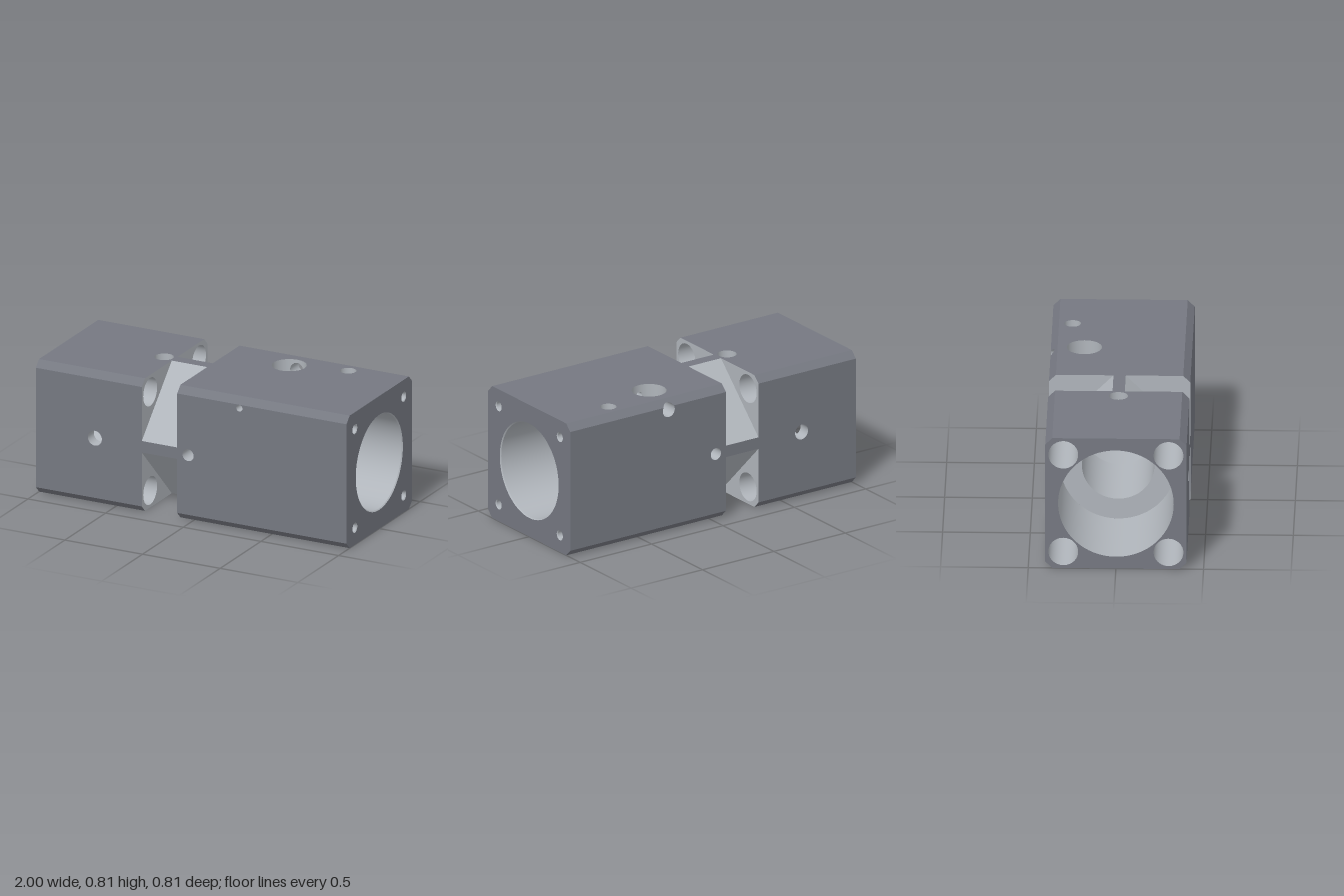
import * as THREE from 'three';

const H = 0.403;            // half height and half depth of the block
const F = 0.363;            // half width of the flats between the long chamfers
const N = 0.035;            // half width of the strip left between corner notches
const X0 = -0.318, X1 = -0.09; // notch ends
const RIGHT = 0.283, MOUTH = 0.289, LEFT = 0.33, MID = 0.207; // bore radii
const RX = 0.05, LX = -0.45;  // bore shoulders
const PIN = { x: 0.31, y: 0.342, front: 0.02, back: 0.042 };
const PORT = { x: 0.31, z: -0.21, r: 0.07, big: 0.1, floor: 0.28 };

export function createModel() {
  const model = new THREE.Group();
  const body = new THREE.Group();
  body.name = 'housing';
  body.position.y = H;
  model.add(body);
  // Dark outer skin, light machined cuts
  const skin = new THREE.MeshStandardMaterial({ color: 0x757881, side: THREE.DoubleSide });
  const cut = new THREE.MeshStandardMaterial({ color: 0xb0b5bb, side: THREE.DoubleSide });

  const add = (name, geo, mat) => {
    const mesh = new THREE.Mesh(geo, mat);
    mesh.name = name;
    body.add(mesh);
  };
  const poly = (pts) => new THREE.Shape(pts.map(([a, b]) => new THREE.Vector2(a, b)));
  const disc = (r, a = 0, b = 0) => new THREE.Shape().absarc(a, b, r, 0, Math.PI * 2);

  // Flat panel: a shape with round holes [a, b, r], carried into space by map(a, b)
  const panel = (name, mat, shape, map, holes = []) => {
    for (const [a, b, r] of holes) shape.holes.push(new THREE.Path().absarc(a, b, r, 0, Math.PI * 2, true));
    const geo = new THREE.ShapeGeometry(shape, 32);
    const p = geo.attributes.position;
    for (let n = 0; n < p.count; n++) p.setXYZ(n, ...map(p.getX(n), p.getY(n)));
    geo.computeVertexNormals();
    add(name, geo, mat);
  };

  // Round inner wall along axis k (0 x, 1 y, 2 z) from a to b, opened where cuts cross it.
  // a and b are numbers or functions of the point, r is a radius or [start, end]
  const pipe = (name, k, ci, cj, r, a, b, cuts = [], nu = 64, nv = 1) => {
    const i = (k + 1) % 3, j = (k + 2) % 3;
    const [ra, rb] = Array.isArray(r) ? r : [r, r];
    const at = (e, p) => (typeof e === 'function' ? e(p) : e);
    const pos = [], nor = [], idx = [], inside = [];
    let forward = true;
    for (let v = 0; v <= nv; v++) for (let u = 0; u <= nu; u++) {
      const t = v / nv, rr = ra + (rb - ra) * t, th = (u / nu) * Math.PI * 2;
      const p = [0, 0, 0];
      p[i] = ci + rr * Math.cos(th);
      p[j] = cj + rr * Math.sin(th);
      const s = at(a, p), e = at(b, p);
      if (u === 0) forward = e > s;
      p[k] = s + (e - s) * t;
      let hit = false;
      for (const c of cuts) {
        const m = (c.k + 1) % 3, n = (c.k + 2) % 3;
        if (c.when && !c.when(p)) continue;
        if (Math.hypot(p[m] - c.i, p[n] - c.j) >= c.r) continue;
        hit = true;
        // slide the point to the rim of the cut, staying on the wall
        for (let step = 0; step < 4; step++) {
          const d = Math.hypot(p[m] - c.i, p[n] - c.j) || 1e-6;
          p[m] = c.i + ((p[m] - c.i) * c.r) / d;
          p[n] = c.j + ((p[n] - c.j) * c.r) / d;
          const q = Math.hypot(p[i] - ci, p[j] - cj) || 1e-6;
          p[i] = ci + ((p[i] - ci) * rr) / q;
          p[j] = cj + ((p[j] - cj) * rr) / q;
        }
      }
      inside.push(hit);
      pos.push(...p);
      // a cone's normal leans along the axis
      const nn = new THREE.Vector3();
      nn.setComponent(i, (ci - p[i]) / rr);
      nn.setComponent(j, (cj - p[j]) / rr);
      if (ra !== rb) nn.setComponent(k, (rb - ra) / (e - s));
      nor.push(...nn.normalize());
    }
    const tri = (x, y, z) => {
      if (!(inside[x] && inside[y] && inside[z])) idx.push(...(forward ? [x, y, z] : [x, z, y]));
    };
    for (let v = 0; v < nv; v++) for (let u = 0; u < nu; u++) {
      const o = v * (nu + 1) + u, w = o + nu + 1;
      tri(o, w, o + 1);
      tri(o + 1, w, w + 1);
    }
    const geo = new THREE.BufferGeometry();
    geo.setAttribute('position', new THREE.Float32BufferAttribute(pos, 3));
    geo.setAttribute('normal', new THREE.Float32BufferAttribute(nor, 3));
    geo.setIndex(idx);
    add(name, geo, cut);
  };

  // Long side faces, narrowed to a strip at the notches
  const side = (bite) => {
    const s = new THREE.Shape();
    s.moveTo(1, F);
    for (const [x, w] of [[1, -F], [X1, -F], [X1, -N], [X0, -N], [X0, -F], [-1, -F],
      [-1, F], [X0, F], [X0, N], [X1, N], [X1, F]]) s.lineTo(x, w);
    if (bite) s.absarc(PIN.x, PIN.y, PIN.back, Math.PI * 5 / 6, Math.PI * 13 / 6, false);
    s.lineTo(1, F);
    return s;
  };
  const cross = [-0.62, 0, 0.045], dowel = [-0.02, 0, 0.036];
  panel('frontFace', skin, side(), (x, y) => [x, y, H], [cross, dowel, [PIN.x, PIN.y, PIN.front]]);
  panel('backFace', skin, side(true), (x, y) => [x, y, -H], [cross, dowel]);
  panel('topFace', skin, side(), (x, z) => [x, H, z],
    [[PORT.x, PORT.z, PORT.big], [0.65, -0.285, 0.047], [-0.385, 0, 0.055]]);
  panel('bottomFace', skin, side(), (x, z) => [x, -H, z],
    [[PORT.x, PORT.z, PORT.r], [0.65, -0.285, 0.047]]);

  // Chamfers, slanted notch floors and notch walls at the four long edges
  for (const sy of [-1, 1]) for (const sz of [-1, 1]) {
    const slope = (base) => (x, y) => [x, sy * y, sz * (H - (y - base))];
    panel('leftBlockChamfer', skin, poly([[-1, F], [X0, F], [X0, H], [-1, H]]), slope(F));
    const strip = new THREE.Shape();
    strip.moveTo(X1, H);
    strip.lineTo(X1, F);
    if (sy > 0 && sz < 0) strip.absarc(PIN.x, PIN.y, PIN.back, Math.PI * 5 / 6, Math.PI / 6, true);
    strip.lineTo(1, F);
    strip.lineTo(1, H);
    panel('rightBlockChamfer', skin, strip, slope(F));
    panel('notchFloor', cut, poly([[X0, N], [X1, N], [X1, H], [X0, H]]), slope(N));
    for (const x of [X0, X1])
      panel('notchWall', cut, poly([[N, H], [H, N], [H, F], [F, H]]), (y, z) => [x, sy * y, sz * z],
        x === X0 ? [[0.3, 0.3, 0.085]] : []);

    // Corner holes: wide passages on one block, tapped blind holes on the other
    pipe('cornerPassage', 0, sy * 0.3, sz * 0.3, 0.085, -1, X0);
    pipe('screwHoleRim', 0, sy * 0.3, sz * 0.3, [0.03, 0.025], 1, 0.995, [], 32);
    pipe('screwHole', 0, sy * 0.3, sz * 0.3, 0.025, 0.995, 0.8, [], 32);
    panel('screwHoleFloor', cut, disc(0.025, sy * 0.3, sz * 0.3), (y, z) => [0.8, y, z]);
  }

  // End faces
  const octagon = () => poly([[H, -F], [H, F], [F, H], [-F, H], [-H, F], [-H, -F], [-F, -H], [F, -H]]);
  for (const [name, x, bore, r] of [['rightEnd', 1, MOUTH, 0.03], ['leftEnd', -1, LEFT, 0.085]])
    panel(name, skin, octagon(), (y, z) => [x, y, z], [[0, 0, bore],
      [0.3, 0.3, r], [0.3, -0.3, r], [-0.3, 0.3, r], [-0.3, -0.3, r]]);

  // Stepped main bore
  pipe('boreMouth', 0, 0, 0, [RIGHT, MOUTH], 0.994, 1, [], 140);
  pipe('rightBore', 0, 0, 0, RIGHT, RX, 0.994, [
    { k: 1, i: PORT.z, j: PORT.x, r: PORT.r },
    { k: 1, i: -0.285, j: 0.65, r: 0.047 }], 140, 110);
  pipe('leftBore', 0, 0, 0, LEFT, -1, LX, [{ k: 2, i: -0.62, j: 0, r: 0.045 }], 140, 60);
  pipe('middleBore', 0, 0, 0, MID, LX, RX - 0.006, [], 96);
  pipe('shoulderLip', 0, 0, 0, [MID, 0.213], RX - 0.006, RX, [], 96);
  panel('rightShoulder', cut, disc(RIGHT), (y, z) => [RX, y, z], [[0, 0, 0.213]]);
  panel('leftShoulder', cut, disc(LEFT), (y, z) => [LX, y, z], [[0, 0, MID]]);

  // Cross holes that break into the bore, and blind dowel holes, front and back
  const reach = (R, d) => Math.sqrt(Math.max(0, R * R - d * d));
  for (const s of [-1, 1]) {
    pipe('crossHole', 2, -0.62, 0, 0.045, s * H, (p) => s * reach(LEFT, p[1]));
    pipe('dowelHole', 2, -0.02, 0, 0.036, s * H, s * 0.3);
    panel('dowelHoleFloor', cut, disc(0.036, -0.02, 0), (x, y) => [x, y, s * 0.3]);
    // Vertical holes, top and bottom
    pipe('ventHole', 1, -0.285, 0.65, 0.047, s * H, (p) => s * reach(RIGHT, p[2]));
    pipe('portHole', 1, PORT.z, PORT.x, PORT.r, s > 0 ? PORT.floor : -H, (p) => s * reach(RIGHT, p[2]));
  }

  // Port counterbore, crossed by the pin hole
  pipe('portCounterbore', 1, PORT.z, PORT.x, PORT.big, PORT.floor, H, [
    { k: 2, i: PIN.x, j: PIN.y, r: PIN.front, when: (p) => p[2] > PORT.z },
    { k: 2, i: PIN.x, j: PIN.y, r: PIN.back, when: (p) => p[2] < PORT.z }], 96, 24);
  panel('portSeat', cut, disc(PORT.big, PORT.x, PORT.z), (x, z) => [x, PORT.floor, z], [[PORT.x, PORT.z, PORT.r]]);
  pipe('pinHoleFront', 2, PIN.x, PIN.y, PIN.front, H, (p) => PORT.z + reach(PORT.big, p[0] - PORT.x), [], 32);
  pipe('pinHoleBack', 2, PIN.x, PIN.y, PIN.back, (p) => -H + Math.max(0, p[1] - F),
    (p) => PORT.z - reach(PORT.big, p[0] - PORT.x));

  // Blind hole on top of the left block, with a pointed floor
  pipe('topHole', 1, 0, -0.385, 0.055, H, 0.27);
  pipe('topHoleFloor', 1, 0, -0.385, [0.055, 0.02], 0.27, 0.255);
  panel('topHoleTip', cut, disc(0.02, -0.385, 0), (x, z) => [x, 0.255, z]);

  return model;
}
